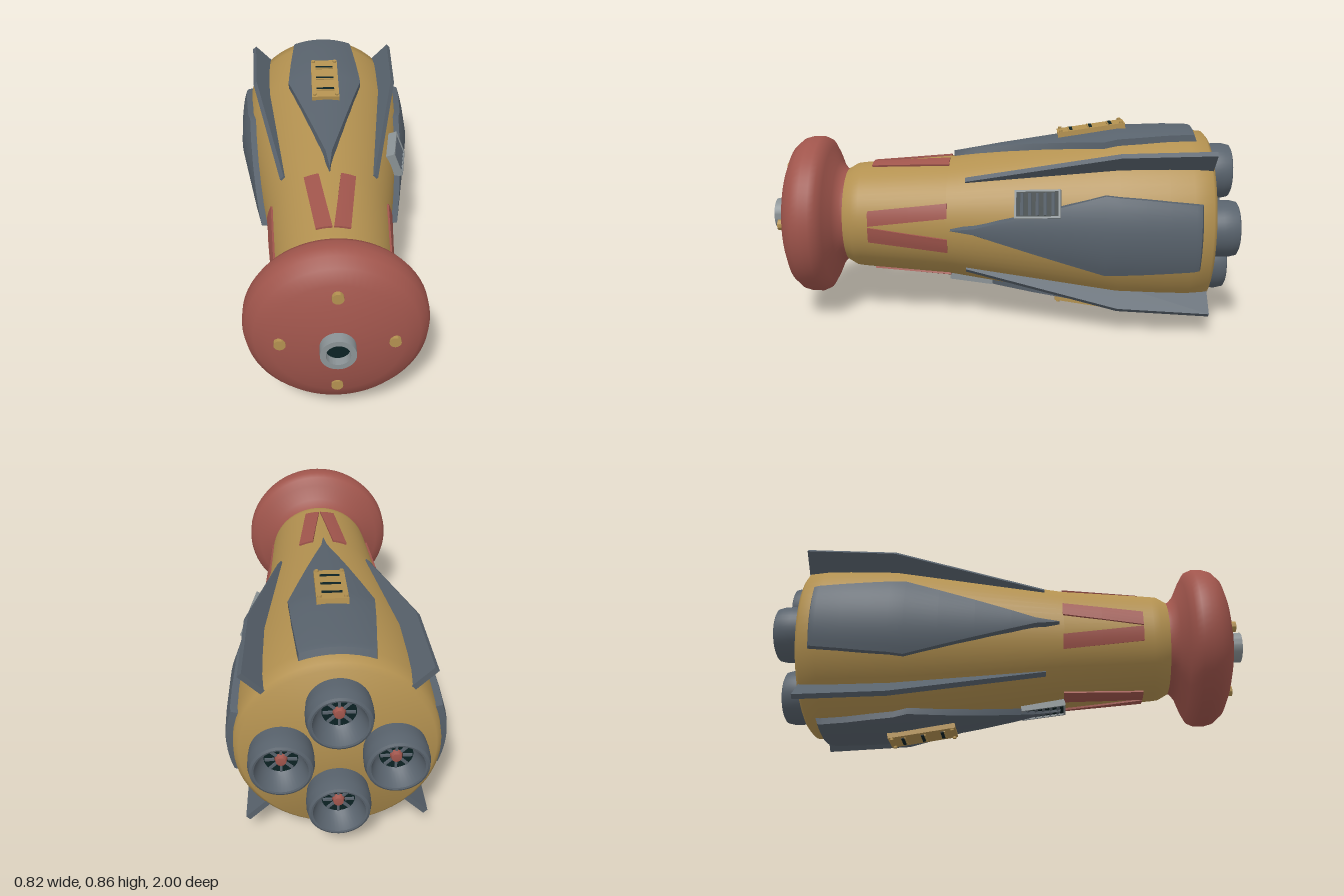
import * as THREE from 'three';
import { toCreasedNormals } from 'three/addons/utils/BufferGeometryUtils.js';

const material = (name, color) => {
  const m = new THREE.MeshStandardMaterial({ color });
  m.name = name;
  return m;
};

// Hull radius along the z axis
const hull = [[0.36, -0.89], [0.378, -0.875], [0.385, -0.8], [0.385, -0.7], [0.378, -0.5],
  [0.262, 0.22], [0.232, 0.6], [0.228, 0.63], [0.205, 0.67]];
function hullRadius(z) {
  for (let i = 1; i < hull.length; i++) {
    const [r0, z0] = hull[i - 1], [r1, z1] = hull[i];
    if (z <= z1) return THREE.MathUtils.lerp(r0, r1, Math.max(0, (z - z0) / (z1 - z0)));
  }
  return 0.205;
}

// Surface of revolution around z from [radius, z] points
function turned(points, segments = 48, crease = 0.6) {
  const g = new THREE.LatheGeometry(points.map(p => new THREE.Vector2(...p)), segments);
  g.rotateX(Math.PI / 2);
  return toCreasedNormals(g, crease);
}

// Plate wrapped onto the hull; stations are [z, left, right], from back to front
function wrapped(stations, lift, bevel, columns) {
  const n = stations.length - 1;
  const g = new THREE.BoxGeometry(1, 1, 1, columns, 1, n);
  const p = g.attributes.position;
  for (let i = 0; i < p.count; i++) {
    const row = Math.round((p.getZ(i) + 0.5) * n);
    const top = p.getY(i) > 0;
    let [z, a, b] = stations[row];
    const inset = top ? Math.min(bevel, (b - a) * 0.4) : 0;
    const u = THREE.MathUtils.lerp(a + inset, b - inset, p.getX(i) + 0.5);
    const R = hullRadius(z);
    const angle = Math.asin(u / R);
    const r = R + (top ? lift : -0.02);
    if (top && row === 0) z += bevel;
    p.setXYZ(i, r * Math.sin(angle), r * Math.cos(angle), z);
  }
  g.computeVertexNormals();
  return g;
}

export function createModel() {
  const gold = material('ochre', 0xb39150);
  const red = material('brick red', 0xa0554c);
  const slate = material('slate grey', 0x58626c);
  const dark = material('dark teal', 0x0c2224);
  const light = material('light grey', 0x8b9396);

  const model = new THREE.Group();
  model.name = 'rocket';
  const ship = new THREE.Group();
  ship.name = 'ship';
  ship.position.y = 0.42;
  model.add(ship);

  const add = (parent, name, geometry, mat, x = 0, y = 0, z = 0) => {
    const m = new THREE.Mesh(geometry, mat);
    m.name = name;
    m.position.set(x, y, z);
    parent.add(m);
    return m;
  };
  const box = (parent, name, size, mat, x, y, z) =>
    add(parent, name, new THREE.BoxGeometry(...size), mat, x, y, z);

  // Hull and nose cap
  add(ship, 'hull', turned([[0, -0.89], ...hull, [0, 0.67]], 64, 0.9), gold);
  add(ship, 'noseCap', turned([[0, 0.66], [0.2, 0.66], [0.205, 0.685], [0.235, 0.71], [0.3, 0.738],
    [0.335, 0.758], [0.347, 0.785], [0.347, 0.825], [0.337, 0.86], [0.305, 0.895], [0.25, 0.918],
    [0.18, 0.937], [0.1, 0.952], [0, 0.957]], 64, 1), red);

  // Nose port with four studs around it
  add(ship, 'nosePort', turned([[0.066, 0.93], [0.066, 1], [0.045, 1], [0.045, 0.95]]), light);
  add(ship, 'portOpening', new THREE.CircleGeometry(0.046, 32), dark, 0, 0, 0.965);
  const stud = turned([[0.022, 0.91], [0.022, 0.942], [0, 0.942]], 24);

  // Rear nozzle parts
  const nozzle = turned([[0, -0.925], [0.06, -0.925], [0.075, -0.94], [0.097, -0.998], [0.104, -1],
    [0.113, -0.995], [0.12, -0.965], [0.12, -0.93], [0.115, -0.88]], 40, 0.7);
  const fanDisc = new THREE.CircleGeometry(0.062, 32).rotateY(Math.PI);

  // Wrapped armour panel and stripe
  const panel = wrapped([[-0.84, -0.145, 0.145], [-0.8, -0.149, 0.149], [-0.7, -0.157, 0.157],
    [-0.6, -0.165, 0.165], [-0.5, -0.171, 0.171], [-0.44, -0.175, 0.175], [-0.3, -0.137, 0.137],
    [-0.15, -0.097, 0.097], [0, -0.057, 0.057], [0.1, -0.03, 0.03], [0.2, -0.003, 0.003]], 0.025, 0.018, 12);
  const stripes = [
    wrapped([[0.215, 0.045, 0.105], [0.38, 0.025, 0.086], [0.555, 0.003, 0.066]], 0.008, 0, 4),
    wrapped([[0.215, -0.105, -0.045], [0.38, -0.086, -0.025], [0.555, -0.066, -0.003]], 0.008, 0, 4),
  ];

  // Fin outline in (z, radius), extruded to its thickness
  const fin = new THREE.ExtrudeGeometry(new THREE.Shape([[0.14, 0.25], [0.14, 0.283], [-0.5, 0.462],
    [-0.88, 0.482], [-0.88, 0.37], [-0.5, 0.35]].map(p => new THREE.Vector2(...p))),
  { depth: 0.022, bevelEnabled: false });
  fin.translate(0, 0, -0.011).rotateY(-Math.PI / 2);

  for (let i = 0; i < 4; i++) {
    const side = new THREE.Group();
    side.name = ['top', 'left', 'bottom', 'right'][i] + 'Side';
    side.rotation.z = -i * Math.PI / 2;
    ship.add(side);
    add(side, 'armourPanel', panel, slate);
    stripes.forEach(s => add(side, 'stripe', s, red));
    add(side, 'noseStud', stud, gold, 0, 0.208, 0);
    add(side, 'fin', fin, slate).rotation.z = -Math.PI / 4;

    const engine = new THREE.Group();
    engine.name = 'engine';
    engine.position.y = 0.207;
    side.add(engine);
    add(engine, 'nozzle', nozzle, slate);
    add(engine, 'fanDisc', fanDisc, dark, 0, 0, -0.927);
    for (let k = 0; k < 8; k++) {
      const a = k * Math.PI / 4;
      const blade = box(engine, 'fanBlade', [0.034, 0.009, 0.008], slate,
        0.041 * Math.cos(a), 0.041 * Math.sin(a), -0.931);
      blade.rotation.z = a;
    }
    add(engine, 'fanHub', turned([[0, -0.95], [0.018, -0.947], [0.024, -0.925]], 20), red);
  }

  // Tilted mount lying on the hull at a given angle from the top
  const mount = (name, angle, radius, z, slope) => {
    const arm = new THREE.Group();
    arm.name = name;
    arm.rotation.z = -angle;
    ship.add(arm);
    const seat = new THREE.Group();
    seat.name = name + 'Seat';
    seat.position.set(0, radius, z);
    seat.rotation.x = slope;
    arm.add(seat);
    return seat;
  };

  // Slotted hatches on the top and bottom panels
  for (const angle of [0, Math.PI]) {
    const hatch = mount('hatch', angle, 0.387, -0.395, 0.155);
    box(hatch, 'hatchPlate', [0.122, 0.03, 0.29], gold, 0, 0, 0);
    for (const z of [-0.085, 0, 0.085]) {
      box(hatch, 'hatchSlot', [0.08, 0.006, 0.013], dark, 0, 0.016, z);
      box(hatch, 'hatchLip', [0.08, 0.008, 0.006], gold, 0, 0.016, z + 0.011);
    }
    for (const x of [-0.05, 0.05]) for (const z of [-0.13, 0.13]) {
      add(hatch, 'hatchBolt', new THREE.CylinderGeometry(0.008, 0.008, 0.01, 12), gold, x, 0.018, z);
    }
  }

  // Louvred vents on the left flank and on the belly
  for (const [angle, radius, z, slope] of [[1.2, 0.343, -0.165, 0.16], [Math.PI, 0.281, 0.125, 0.13]]) {
    const vent = mount('vent', angle, radius, z, slope);
    box(vent, 'ventBack', [0.11, 0.03, 0.18], dark, 0, -0.006, 0);
    for (const s of [-1, 1]) {
      box(vent, 'ventFrameSide', [0.008, 0.04, 0.19], light, s * 0.055, -0.004, 0);
      box(vent, 'ventFrameEnd', [0.118, 0.04, 0.008], light, 0, -0.004, s * 0.091);
    }
    for (let k = -2; k <= 2; k++) {
      box(vent, 'ventSlat', [0.092, 0.004, 0.014], slate, 0, 0.011, k * 0.032).rotation.x = 0.4;
    }
  }
  return model;
}
